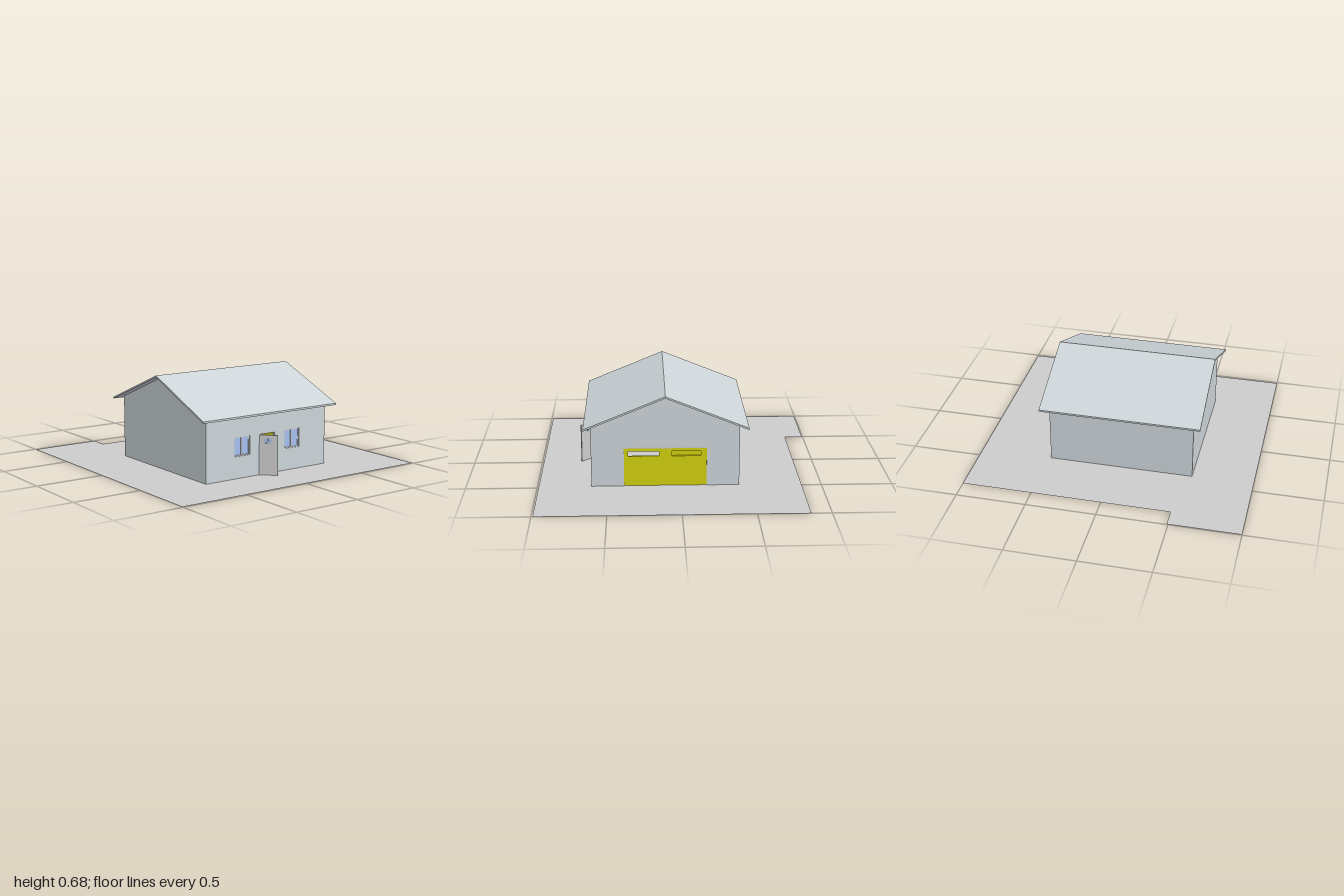
import * as THREE from 'three';

const mat = (color, side = THREE.FrontSide) =>
  new THREE.MeshStandardMaterial({ color, side, flatShading: true });

const WALL = mat(0xccd4d8);
const GREY = mat(0xcccccc);
const YELLOW = mat(0xd0d010);
const GLASS = mat(0xa5bfee);
const THICK = 0.02;

// Polygon with optional rectangular holes [x0, y0, x1, y1]
function outline(points, holes = []) {
  const shape = new THREE.Shape(points.map(([x, y]) => new THREE.Vector2(x, y)));
  for (const [x0, y0, x1, y1] of holes) {
    shape.holes.push(new THREE.Path([
      new THREE.Vector2(x0, y0), new THREE.Vector2(x0, y1),
      new THREE.Vector2(x1, y1), new THREE.Vector2(x1, y0),
    ]));
  }
  return shape;
}

const rect = (x0, y0, x1, y1) => [[x0, y0], [x1, y0], [x1, y1], [x0, y1]];

function slab(name, parent, material, depth, points, holes) {
  const geo = new THREE.ExtrudeGeometry(outline(points, holes), { depth, bevelEnabled: false });
  const mesh = new THREE.Mesh(geo, material);
  mesh.name = name;
  parent.add(mesh);
  return mesh;
}

// Turns a slab so that its drawing runs along -z and its depth along +x
function faceRight(mesh, x) {
  mesh.rotation.y = Math.PI / 2;
  mesh.position.x = x;
  return mesh;
}

// Two-sash window, set into the front wall
function makeWindow(name, x) {
  const g = new THREE.Group();
  g.name = name;
  const w = 0.135, h = 0.135, b = 0.007, m = 0.005;
  slab('windowFrame', g, GREY, 0.012, rect(0, 0, w, h),
    [[b, b, w / 2 - m, h - b], [w / 2 + m, b, w - b, h - b]]);
  slab('windowGlass', g, GLASS, 0.003, rect(b / 2, b / 2, w - b / 2, h - b / 2)).position.z = 0.004;
  g.position.set(x, 0.155, 0.602);
  return g;
}

export function createModel() {
  const house = new THREE.Group();
  house.name = 'house';

  // Ground sheet with a small step along the back edge
  const ground = new THREE.Mesh(
    new THREE.ShapeGeometry(outline([
      [-1, -0.99], [1, -0.99], [1, 0.86], [-0.49, 0.86], [-0.49, 0.995], [-1, 0.995],
    ])),
    mat(0xcccccc, THREE.DoubleSide));
  ground.rotation.x = -Math.PI / 2;
  ground.name = 'ground';
  house.add(ground);

  // Front wall with doorway and two window openings
  const x0 = -0.56 + THICK, x1 = 0.48 - THICK, eave = 0.449;
  slab('frontWall', house, WALL, THICK, [
    [x0, 0], [-0.105, 0], [-0.105, 0.285], [0.025, 0.285], [0.025, 0], [x1, 0], [x1, eave], [x0, eave],
  ], [[-0.325, 0.155, -0.19, 0.29], [0.11, 0.155, 0.245, 0.29]]).position.z = 0.62 - THICK;
  slab('backWall', house, WALL, THICK, rect(x0, 0, x1, eave)).position.z = -0.42;

  // Gable walls; the one at +x has the garage opening
  const gableTop = [[0.42, 0], [0.42, eave], [-0.1, 0.662], [-0.62, eave]];
  faceRight(slab('leftWall', house, WALL, THICK, [
    [-0.62, 0], [-0.39, 0], [-0.39, 0.285], [0.19, 0.285], [0.19, 0], ...gableTop,
  ]), 0.48 - THICK);
  faceRight(slab('rightWall', house, WALL, THICK, [[-0.62, 0], ...gableTop]), -0.56);

  // Garage door: one open slot and one closed, recessed slot
  const slots = [[-0.36, 0.22, -0.145, 0.255], [-0.055, 0.22, 0.15, 0.255]];
  faceRight(slab('garageDoor', house, YELLOW, 0.012, rect(-0.39, 0, 0.19, 0.277), slots), 0.464);
  faceRight(slab('garageSlotPanel', house, YELLOW, 0.003, rect(-0.06, 0.215, 0.155, 0.26)), 0.461);
  faceRight(slab('garageLintel', house, GREY, 0.012, rect(-0.39, 0.277, 0.19, 0.285)), 0.464);

  // Pitched roof, one thin folded slab
  faceRight(slab('roof', house, WALL, 1.155, [
    [-0.67, 0.428], [-0.1, 0.662], [0.48, 0.428], [0.48, 0.441], [-0.1, 0.675], [-0.67, 0.441],
  ]), -0.615);

  house.add(makeWindow('rightWindow', -0.325), makeWindow('leftWindow', 0.11));

  // Front door standing half open, with a small pane
  const door = new THREE.Group();
  door.name = 'frontDoor';
  slab('doorLeaf', door, GREY, 0.008, rect(0, 0, 0.13, 0.283), [[0.035, 0.225, 0.085, 0.258]]);
  slab('doorPane', door, GLASS, 0.003, rect(0.033, 0.223, 0.087, 0.26)).position.z = 0.0025;
  slab('doorPaneBar', door, GREY, 0.007, rect(0.058, 0.225, 0.062, 0.258)).position.z = 0.0005;
  door.position.set(-0.105, 0, 0.615);
  door.rotation.y = -Math.PI / 4;
  house.add(door);

  return house;
}
